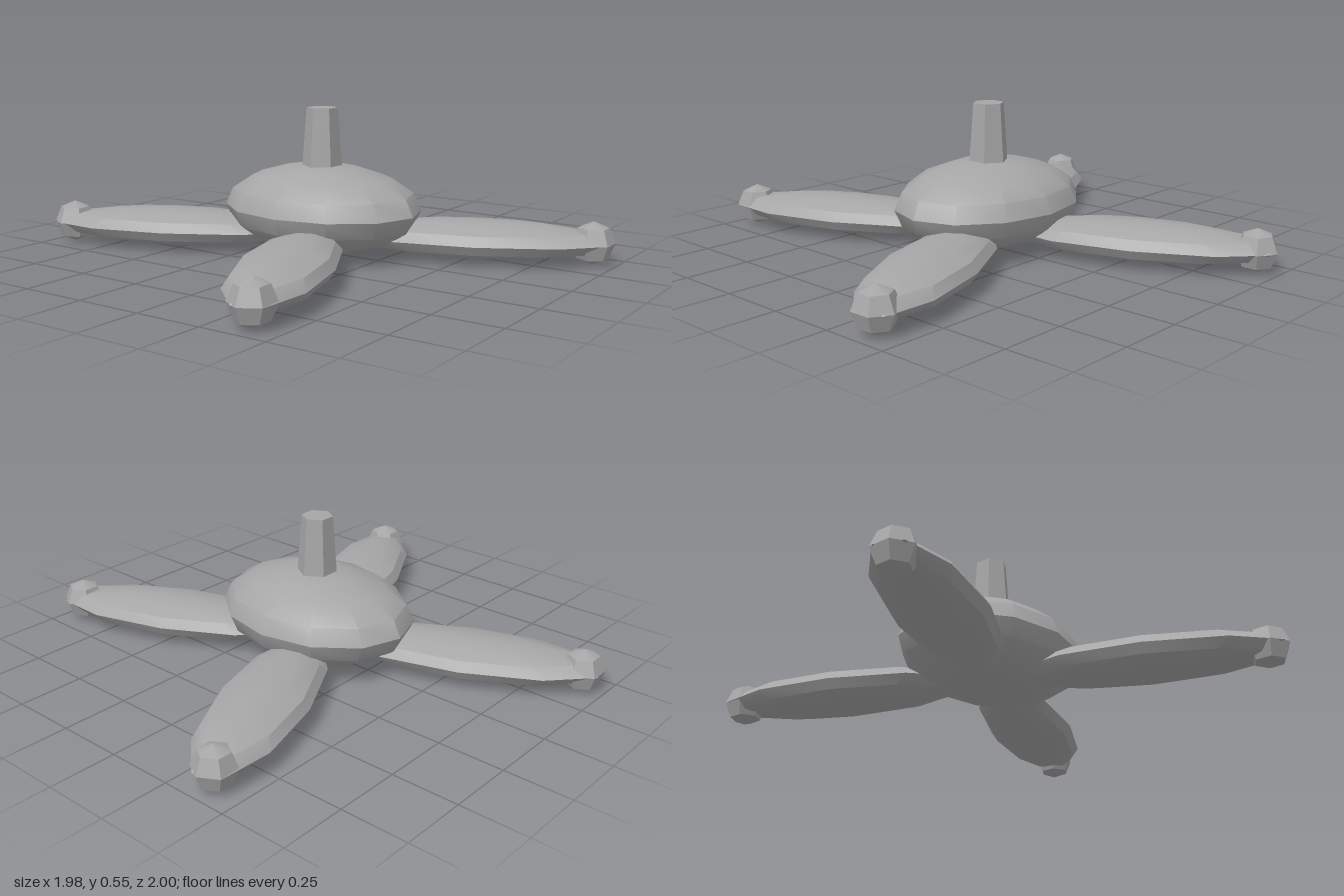
import * as THREE from 'three';
import { toCreasedNormals } from 'three/addons/utils/BufferGeometryUtils.js';

export function createModel() {
  const model = new THREE.Group();
  const grey = new THREE.MeshStandardMaterial({ color: 0xa6a6a6 });
  grey.name = 'grey';

  // Low-poly part: smooth over gentle bends, sharp over strong ones
  const part = (name, geometry, parent, x, y, z) => {
    const mesh = new THREE.Mesh(toCreasedNormals(geometry, 0.6), grey);
    mesh.name = name;
    mesh.position.set(x, y, z);
    parent.add(mesh);
    return mesh;
  };

  // Flattened oval hub
  part('hub', new THREE.SphereGeometry(1, 12, 8).scale(0.395, 0.165, 0.305), model, 0, 0.175, 0);

  // Tapered six-sided post
  part('post', new THREE.CylinderGeometry(0.059, 0.08, 0.3, 6), model, 0, 0.4, 0);

  // Four blades, each with a knob at its end
  for (let i = 0; i < 4; i++) {
    const angle = 0.4 + i * Math.PI / 2;
    const arm = new THREE.Group();
    arm.name = 'arm' + (i + 1);
    model.add(arm);
    const dx = Math.sin(angle), dz = Math.cos(angle);

    const blade = part('blade', new THREE.SphereGeometry(1, 10, 6).scale(0.166, 0.07, 0.5),
      arm, 0.58 * dx, 0.08, 0.58 * dz);
    blade.rotation.y = angle;

    // Knobs keep the same orientation, with corners towards the front and back
    part('knob', new THREE.SphereGeometry(0.08, 6, 4).rotateY(Math.PI / 2),
      arm, 0.998 * dx, 0.08, 0.998 * dz);
  }
  return model;
}
